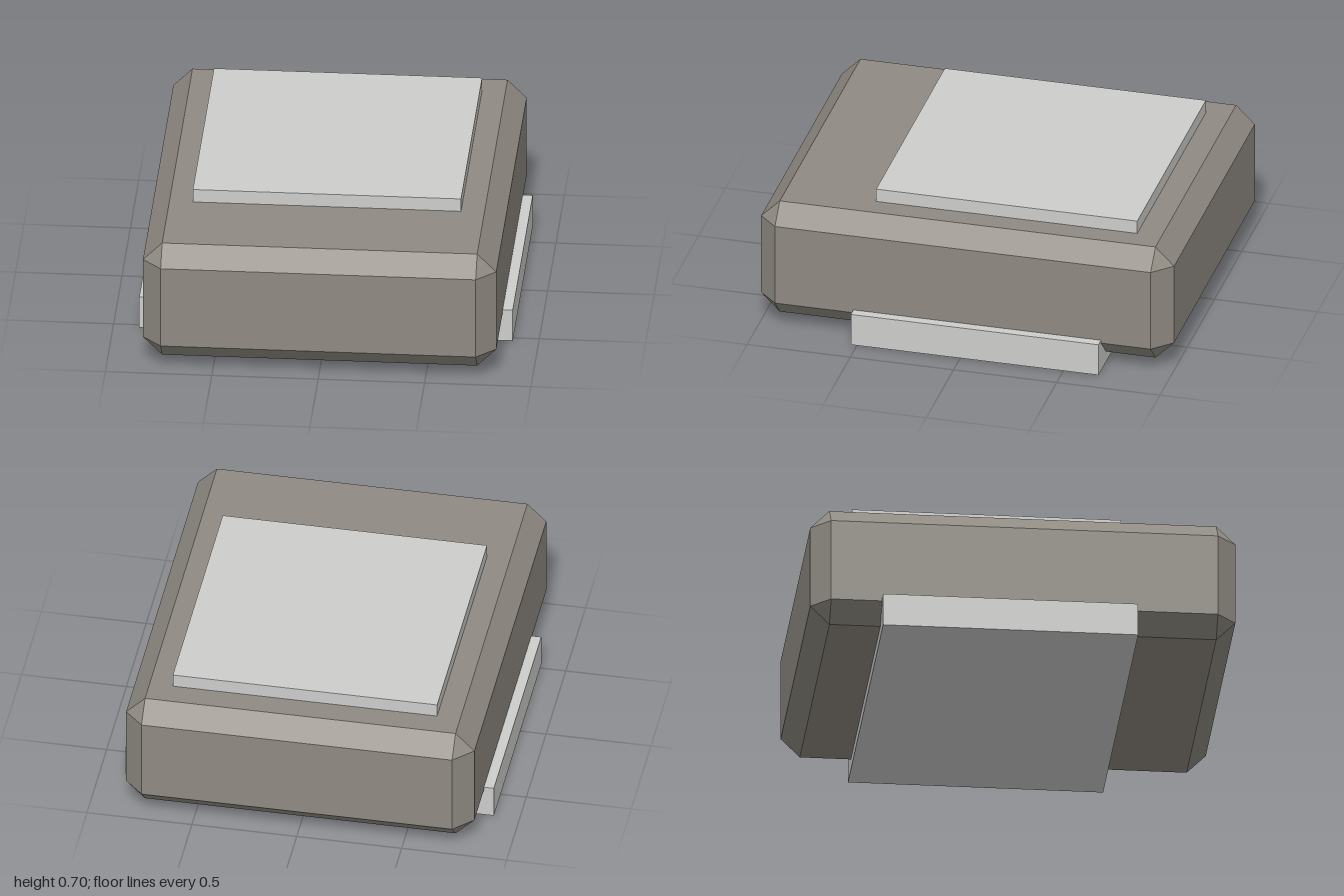
import * as THREE from 'three';
import { ConvexGeometry } from 'three/addons/geometries/ConvexGeometry.js';

const stone = new THREE.MeshStandardMaterial({ color: 0x8f8a82 });
stone.name = 'warm grey';
const pale = new THREE.MeshStandardMaterial({ color: 0xcdcdcc });
pale.name = 'pale grey';

// Box with every edge cut at 45 degrees and triangular corners
function chamferedBox(w, h, d, c) {
  const points = [];
  for (const sx of [-1, 1]) for (const sy of [-1, 1]) for (const sz of [-1, 1]) {
    const x = w / 2, y = h / 2, z = d / 2;
    points.push(
      new THREE.Vector3(sx * x, sy * (y - c), sz * (z - c)),
      new THREE.Vector3(sx * (x - c), sy * y, sz * (z - c)),
      new THREE.Vector3(sx * (x - c), sy * (y - c), sz * z)
    );
  }
  return new ConvexGeometry(points);
}

function addPart(group, name, geometry, material, x, y, z) {
  const mesh = new THREE.Mesh(geometry, material);
  mesh.name = name;
  mesh.position.set(x, y, z);
  group.add(mesh);
}

export function createModel() {
  const group = new THREE.Group();
  group.name = 'chamferedBlock';

  // Main body
  addPart(group, 'body', chamferedBox(1.66, 0.585, 2, 0.09), stone, 0, 0.3475, 0);

  // Raised plate, set towards the back; its lower part is sunk into the body
  addPart(group, 'topPlate', new THREE.BoxGeometry(1.26, 0.13, 1.265), pale, 0, 0.64, -0.16);

  // Wide base strip passing under the body
  addPart(group, 'baseStrip', new THREE.BoxGeometry(1.755, 0.16, 1.2), pale, 0, 0.08, -0.07);

  return group;
}
